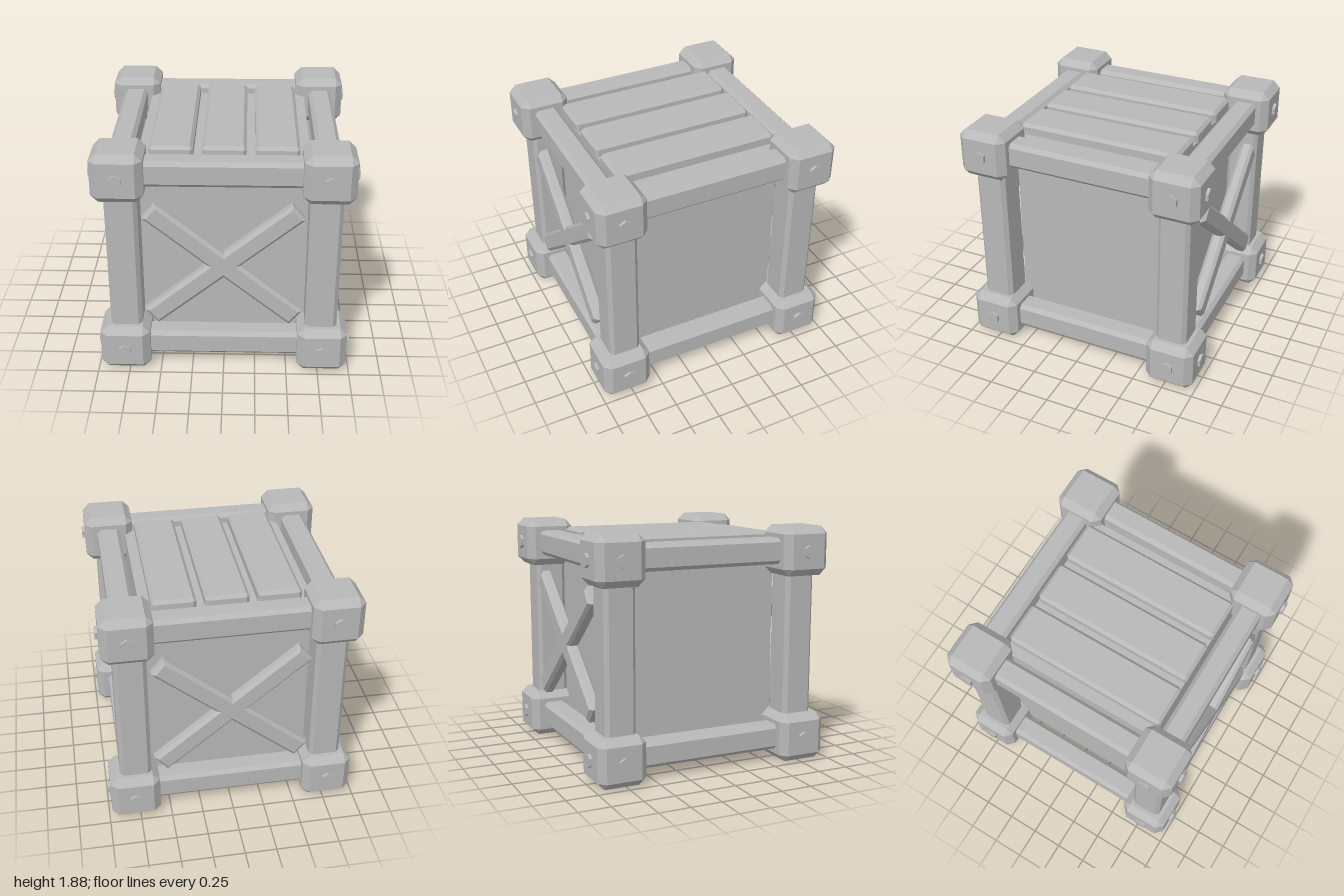
import * as THREE from 'three';
import { ConvexGeometry } from 'three/addons/geometries/ConvexGeometry.js';

const SIGNS = [-1, 1];
const CORNER = 0.78;          // corner block centre in x and z
const LOW = 0.195, HIGH = 1.692; // corner block centres in y
const MID = (LOW + HIGH) / 2;

// Box with every edge cut at 45 degrees by c
function chamferBox(w, h, d, c) {
  const points = [];
  for (const sx of SIGNS) for (const sy of SIGNS) for (const sz of SIGNS) {
    const x = sx * w / 2, y = sy * h / 2, z = sz * d / 2;
    points.push(
      new THREE.Vector3(x, y - sy * c, z - sz * c),
      new THREE.Vector3(x - sx * c, y, z - sz * c),
      new THREE.Vector3(x - sx * c, y - sy * c, z));
  }
  return new ConvexGeometry(points);
}

// Bevelled X-shaped brace, centred on the origin
function braceGeometry() {
  const angle = 0.692, half = 0.08, length = 0.733;
  const c = Math.cos(angle), s = Math.sin(angle);
  const a = [length * c + half * s, length * s - half * c]; // lower end corner
  const b = [length * c - half * s, length * s + half * c]; // upper end corner
  const side = half / s, top = half / c;
  const outline = [
    [side, 0], a, b, [0, top],
    [-b[0], b[1]], [-a[0], a[1]], [-side, 0],
    [-a[0], -a[1]], [-b[0], -b[1]], [0, -top],
    [b[0], -b[1]], [a[0], -a[1]],
  ].map(([x, y]) => new THREE.Vector2(x, y));
  const bevel = 0.025;
  return new THREE.ExtrudeGeometry(new THREE.Shape(outline), {
    depth: 0.055, bevelEnabled: true, bevelSegments: 1,
    bevelSize: bevel, bevelThickness: bevel, bevelOffset: -bevel,
  }).translate(0, 0, -0.0275);
}

export function createModel() {
  const model = new THREE.Group();
  model.name = 'crate';
  const grey = new THREE.MeshStandardMaterial({ color: 0xb8b8b8, flatShading: true });
  grey.name = 'grey';

  const add = (name, geometry, x, y, z) => {
    const mesh = new THREE.Mesh(geometry, grey);
    mesh.name = name;
    mesh.position.set(x, y, z);
    model.add(mesh);
    return mesh;
  };

  // Inner box
  add('innerBox', new THREE.BoxGeometry(1.3, 1.57, 1.3), 0, 0.955, 0);

  // Lid planks
  const plank = chamferBox(0.335, 0.12, 1.32, 0.025);
  for (const i of [-1, 0, 1]) add('lidPlank', plank, i * 0.4, 1.766, 0);

  // Frame: posts, rails, corner blocks and bolts
  const post = chamferBox(0.25, HIGH - LOW, 0.25, 0.03);
  const railX = chamferBox(1.4, 0.204, 0.188, 0.03);
  const railZ = chamferBox(0.188, 0.204, 1.4, 0.03);
  const block = chamferBox(0.394, 0.386, 0.394, 0.056);
  const boltZ = new THREE.CylinderGeometry(0.054, 0.054, 0.06, 6).rotateX(Math.PI / 2);
  const boltX = boltZ.clone().rotateY(Math.PI / 2);

  for (const sx of SIGNS) for (const sz of SIGNS) {
    add('post', post, sx * 0.767, MID, sz * 0.767);
    for (const y of [LOW, HIGH]) {
      add('cornerBlock', block, sx * CORNER, y, sz * CORNER);
      add('sideBolt', boltX, sx * 0.97, y, sz * CORNER);
      add('endBolt', boltZ, sx * CORNER, y, sz * 0.97);
    }
  }
  for (const s of SIGNS) for (const y of [LOW, HIGH]) {
    add('crossRail', railX, 0, y + 0.003, s * 0.785);
    add('sideRail', railZ, s * 0.783, y + 0.003, 0);
  }

  // Diagonal braces on front and back
  const brace = braceGeometry();
  for (const s of SIGNS) add(s > 0 ? 'frontBrace' : 'backBrace', brace, 0, 0.936, s * 0.853);

  return model;
}
